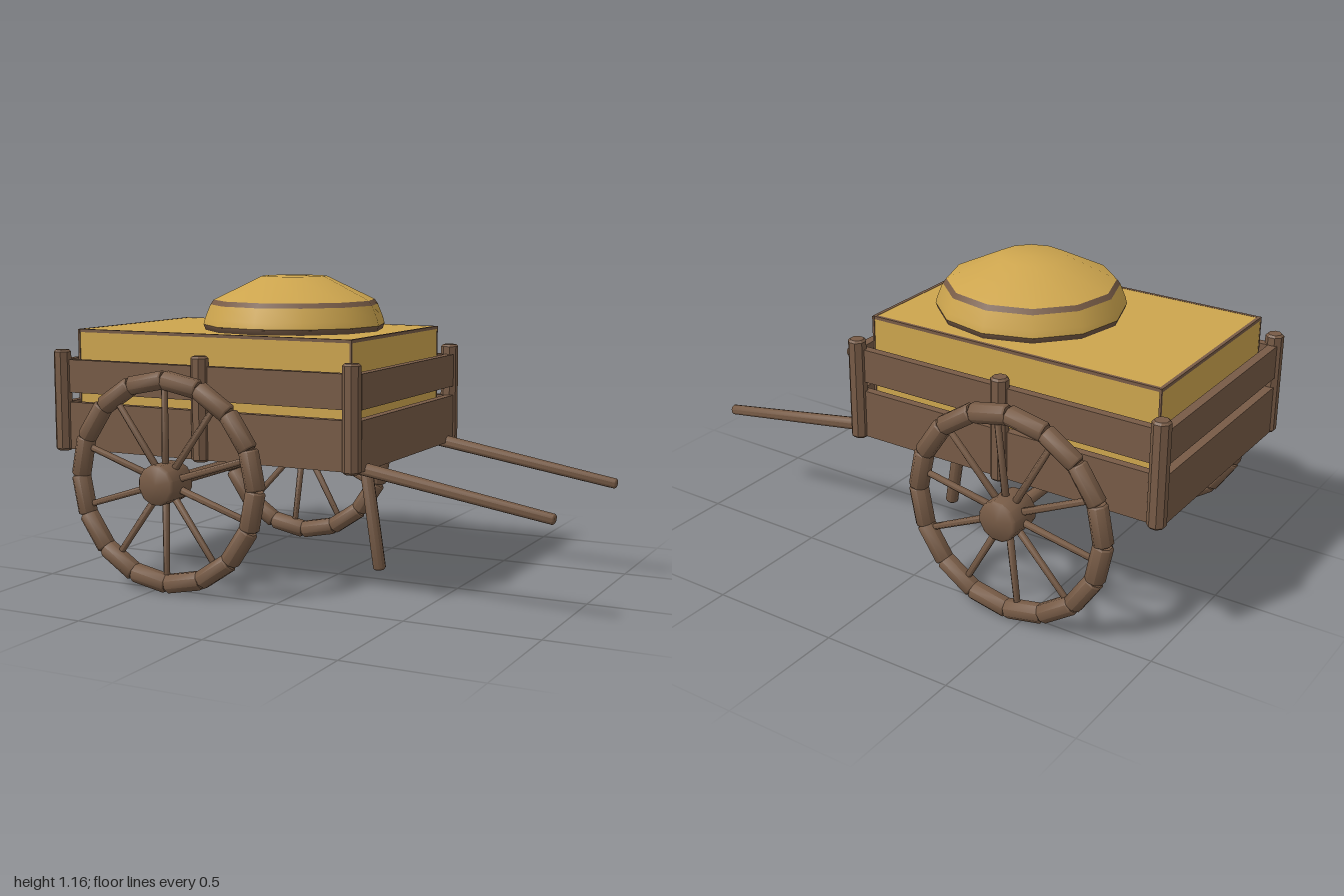
import * as THREE from 'three';
import { toCreasedNormals } from 'three/addons/utils/BufferGeometryUtils.js';

const mat = (name, color) => {
  const m = new THREE.MeshStandardMaterial({ color });
  m.name = name;
  return m;
};

export function createModel() {
  const wood = mat('brown wood', 0x775b46);
  const straw = mat('golden straw', 0xcda54e);
  const cart = new THREE.Group();
  cart.name = 'handcart';

  const add = (parent, name, geo, material, x = 0, y = 0, z = 0) => {
    const m = new THREE.Mesh(geo, material);
    m.name = name;
    m.position.set(x, y, z);
    parent.add(m);
    return m;
  };
  const box = (name, material, x0, x1, y0, y1, z0, z1) =>
    add(cart, name, new THREE.BoxGeometry(x1 - x0, y1 - y0, z1 - z0), material,
      (x0 + x1) / 2, (y0 + y1) / 2, (z0 + z1) / 2);

  // Round bar along y with chamfered ends, radius r0 at the bottom and r1 at the top
  const barGeo = (r0, r1, len, bevel, sides, crease = 0.82) => {
    const h = len / 2;
    const pts = [[0, -h], [r0 - bevel, -h], [r0, -h + bevel], [r1, h - bevel], [r1 - bevel, h], [0, h]];
    const g = new THREE.LatheGeometry(pts.map(p => new THREE.Vector2(...p)), sides, Math.PI / sides);
    return toCreasedNormals(g, crease);
  };
  // Bar running from point a to point b
  const strut = (parent, name, a, b, r0, r1, bevel, sides = 10) => {
    const A = new THREE.Vector3(...a), B = new THREE.Vector3(...b);
    const d = B.clone().sub(A);
    const m = add(parent, name, barGeo(r0, r1, d.length(), bevel, sides), wood);
    m.position.copy(A.add(B).multiplyScalar(0.5));
    m.quaternion.setFromUnitVectors(new THREE.Vector3(0, 1, 0), d.normalize());
    return m;
  };

  // Bed: floor, plank walls with a gap between the planks, posts
  box('floor', wood, -0.98, 0.29, 0.495, 0.525, -0.43, 0.43);
  for (const [y0, y1] of [[0.495, 0.678], [0.715, 0.842]]) {
    for (const s of [-1, 1]) {
      const z = s * 0.43;
      box('sidePlank', wood, -0.985, 0.295, y0, y1, z - 0.016, z + 0.016);
    }
    for (const x of [-0.97, 0.285]) box('endPlank', wood, x - 0.017, x + 0.017, y0, y1, -0.42, 0.42);
  }
  for (const x of [-0.965, -0.345, 0.275])
    for (const s of [-1, 1])
      add(cart, 'post', barGeo(0.034, 0.034, 0.39, 0.008, 8, 0.5), wood, x, 0.685, s * 0.445);

  // Straw load with thin dark edging
  const X0 = -0.93, X1 = 0.245, Y = 0.955, Z = 0.385, e = 0.011;
  box('strawBlock', straw, X0, X1, 0.52, Y, -Z, Z);
  for (const s of [-1, 1]) {
    const z = s * (Z - e / 2), x = s > 0 ? X1 - e / 2 : X0 + e / 2, h = e / 2 + 0.001;
    box('loadEdge', wood, X0, X1, Y - e, Y + 0.001, z - h, z + h);
    box('loadEdge', wood, x - h, x + h, Y - e, Y + 0.001, -Z, Z);
    for (const cx of [X0 + 0.003, X1 - 0.003])
      box('loadCorner', wood, cx - 0.004, cx + 0.004, 0.53, Y, s * Z - 0.004, s * Z + 0.004);
  }

  // Rounded heap on top, built in bands
  const band = (name, material, pts) =>
    add(cart, name, new THREE.LatheGeometry(pts.map(p => new THREE.Vector2(...p)), 12, 0.05),
      material, -0.19, 0, 0);
  band('heapBase', wood, [[0, 0.953], [0.343, 0.953], [0.351, 0.976]]);
  band('heapLower', straw, [[0.351, 0.976], [0.345, 1.0], [0.324, 1.052]]);
  band('heapBand', wood, [[0.324, 1.052], [0.311, 1.07]]);
  band('heapTop', straw, [[0.311, 1.07], [0.125, 1.16], [0, 1.161]]);

  // Wheels: jointed rim, spokes and hub
  const WX = -0.44, WY = 0.417;
  strut(cart, 'axle', [WX, WY, -0.55], [WX, WY, 0.55], 0.023, 0.023, 0.004);
  for (const s of [-1, 1]) {
    const wheel = new THREE.Group();
    wheel.name = s > 0 ? 'leftWheel' : 'rightWheel';
    wheel.position.set(WX, WY, s * 0.537);
    cart.add(wheel);
    const rim = barGeo(0.037, 0.037, 0.15, 0.006, 8);
    for (let i = 0; i < 16; i++) {
      const a = (i + 0.5) * Math.PI / 8;
      add(wheel, 'rimSegment', rim, wood, 0.373 * Math.cos(a), 0.373 * Math.sin(a), 0).rotation.z = a;
    }
    for (let i = 0; i < 10; i++) {
      const a = i * Math.PI / 5 + 0.25 + s * 0.06, c = Math.cos(a), n = Math.sin(a);
      strut(wheel, 'spoke', [0.04 * c, 0.04 * n, 0], [0.36 * c, 0.36 * n, 0], 0.014, 0.012, 0.002, 8);
    }
    strut(wheel, 'hub', [0, 0, -0.073], [0, 0, 0.073], 0.076, 0.076, 0.009, 12);
  }

  // Pulling shafts and prop leg
  for (const s of [-1, 1])
    strut(cart, 'shaft', [0.2, 0.513, s * 0.37], [0.995, 0.382, s * 0.37], 0.025, 0.02, 0.006);
  strut(cart, 'propLeg', [0.108, 0.5, 0], [0.178, 0.04, 0], 0.025, 0.025, 0.008);

  return cart;
}
